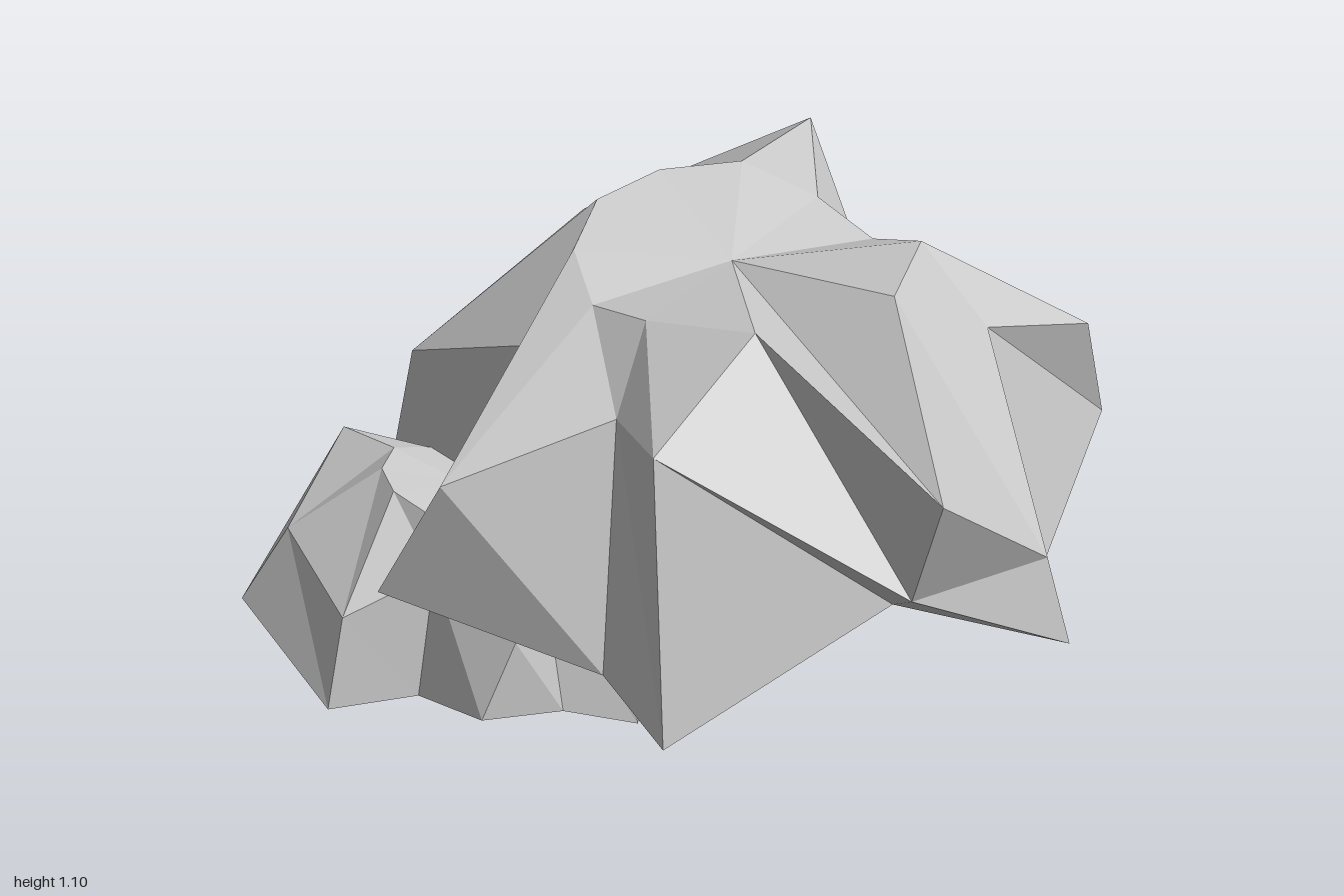
import * as THREE from 'three';

// Twelve spokes run from the front tip round through +x; each ring is [x, y, z] per spoke.
const crown = [0.045, 1.025, -0.06];
const topRing = [
  [0.045, 0.855, 0.998], [0.225, 1.1, 0.41], [0.44, 1.07, 0.135], [0.41, 1.0, -0.05],
  [0.36, 1.04, -0.23], [0.235, 1.1, -0.37], [0.045, 1.1, -0.42], [-0.145, 1.09, -0.37],
  [-0.28, 1.055, -0.23], [-0.325, 1.0, -0.05], [-0.28, 1.03, 0.13], [-0.14, 1.09, 0.41],
];
const shoulderRing = [
  [0.045, 0.54, 0.84], [0.43, 0.54, 0.785], [0.535, 0.89, 0.285], [0.875, 0.755, 0.14],
  [0.5, 0.845, -0.3], [0.525, 1.05, -0.58], [0.05, 0.82, -0.81], [-0.52, 0.69, -0.58],
  [-0.42, 0.85, -0.2], [-0.825, 0.73, 0.14], [-0.42, 0.86, 0.25], [-0.465, 0.89, 0.52],
];
const rimRing = [
  [0.05, 0.485, 0.735], [0.485, 0.305, 0.79], [0.63, 0.27, 0.37], [0.985, 0.44, 0],
  [0.595, 0.32, -0.32], [0.585, 0.295, -0.635], [0.055, 0.49, -1.0], [-0.56, 0.285, -0.64],
  [-0.46, 0.3, -0.265], [-0.915, 0.415, 0], [-0.5, 0.25, 0.335], [-0.505, 0.195, 0.645],
];

// Open shell: a fan around the crown, then two bands down to the rim
function canopyGeometry() {
  const rings = [topRing, shoulderRing, rimRing];
  const n = topRing.length;
  const points = [];
  const tri = (...corners) => corners.forEach((c) =>
    points.push(c[0] - crown[0], c[1], c[2] - crown[2]));

  for (let i = 0; i < n; i++) {
    const j = (i + 1) % n;
    tri(crown, topRing[i], topRing[j]);
    for (let r = 0; r < rings.length - 1; r++) {
      const a = rings[r], b = rings[r + 1];
      tri(a[i], b[i], b[j]);
      tri(a[i], b[j], a[j]);
    }
  }
  const geometry = new THREE.BufferGeometry();
  geometry.setAttribute('position', new THREE.Float32BufferAttribute(points, 3));
  geometry.computeVertexNormals();
  return geometry;
}

export function createModel() {
  const model = new THREE.Group();
  model.name = 'foliage';
  const material = new THREE.MeshStandardMaterial({
    color: 0xcccccc, flatShading: true, side: THREE.DoubleSide,
  });
  const geometry = canopyGeometry();

  // Large upper canopy
  const large = new THREE.Mesh(geometry, material);
  large.name = 'largeCanopy';
  large.position.set(crown[0], 0, crown[2]);
  model.add(large);

  // Small lower canopy, the same clump turned and shrunk
  const small = new THREE.Mesh(geometry, material);
  small.name = 'smallCanopy';
  small.scale.setScalar(0.56);
  small.rotation.y = THREE.MathUtils.degToRad(62);
  small.position.set(-0.518, -0.109, -0.302);
  model.add(small);

  return model;
}
